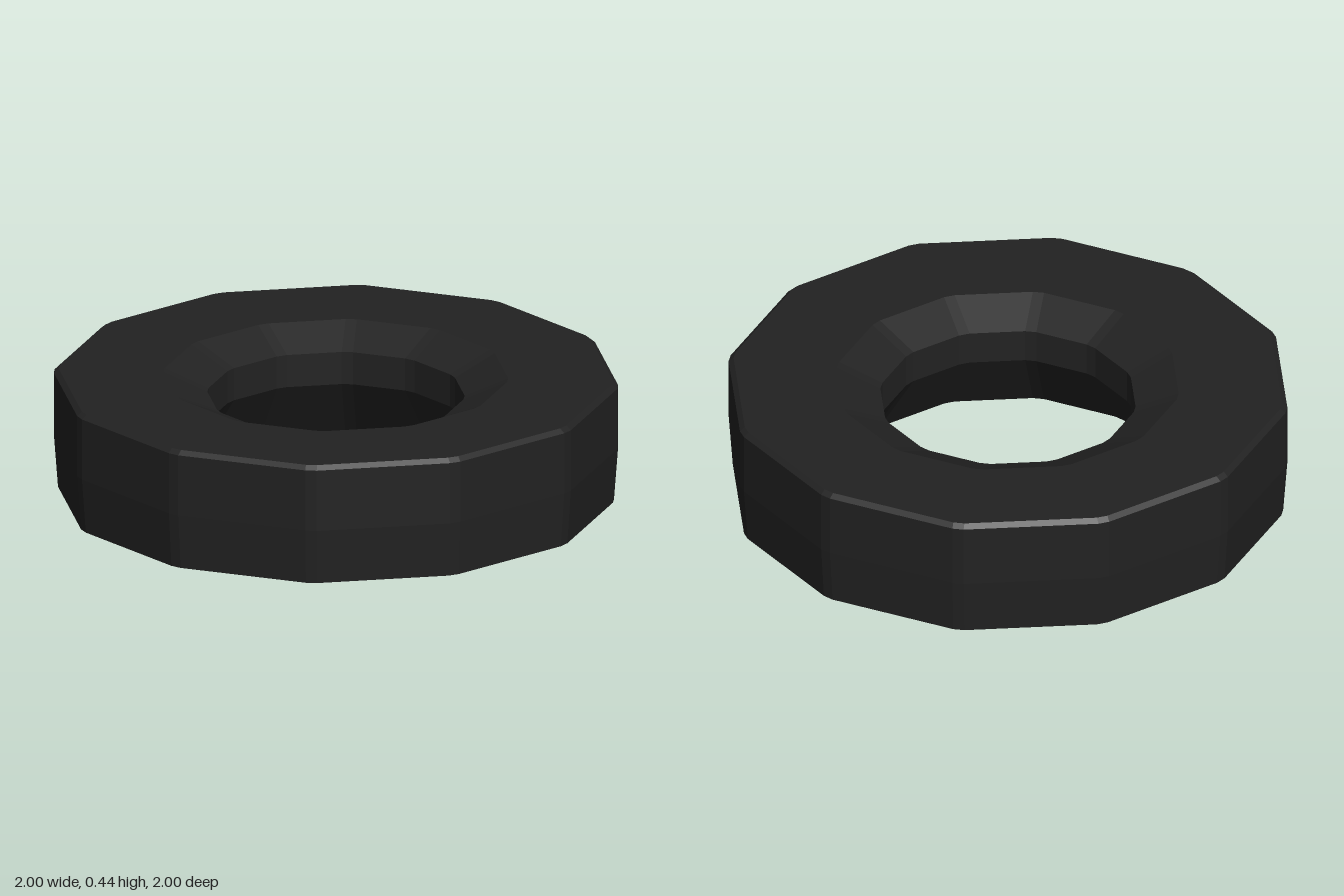
import * as THREE from 'three';

const SIDES = 12;
const CORNER = 0.02; // half width of the small bevel on each vertical corner

export function createModel() {
  const group = new THREE.Group();
  group.name = 'ring';

  // Closed cross-section: up the outside, in over the top, down the flared bore
  const profile = [
    [0.985, 0], [1, 0.2], [1, 0.425], [0.982, 0.44],
    [0.61, 0.44], [0.455, 0.37], [0.455, 0.25], [0.61, 0], [0.985, 0],
  ].map(([r, y]) => new THREE.Vector2(r, y));

  // Two segments per side, then paired up around each corner of the twelve-sided ring
  const geometry = new THREE.LatheGeometry(profile, SIDES * 2);
  const pos = geometry.attributes.position;
  for (let i = 0; i < pos.count; i++) {
    const segment = Math.floor(i / profile.length);
    const r = profile[i % profile.length].x;
    const corner = Math.floor(segment / 2) * (Math.PI * 2 / SIDES);
    const angle = corner + (segment % 2 ? 1 : -1) * CORNER / r;
    pos.setX(i, Math.sin(angle) * r);
    pos.setZ(i, Math.cos(angle) * r);
  }
  geometry.computeVertexNormals();

  const material = new THREE.MeshStandardMaterial({ color: 0x222222, flatShading: true });
  const tyre = new THREE.Mesh(geometry, material);
  tyre.name = 'tyre';
  group.add(tyre);
  return group;
}
